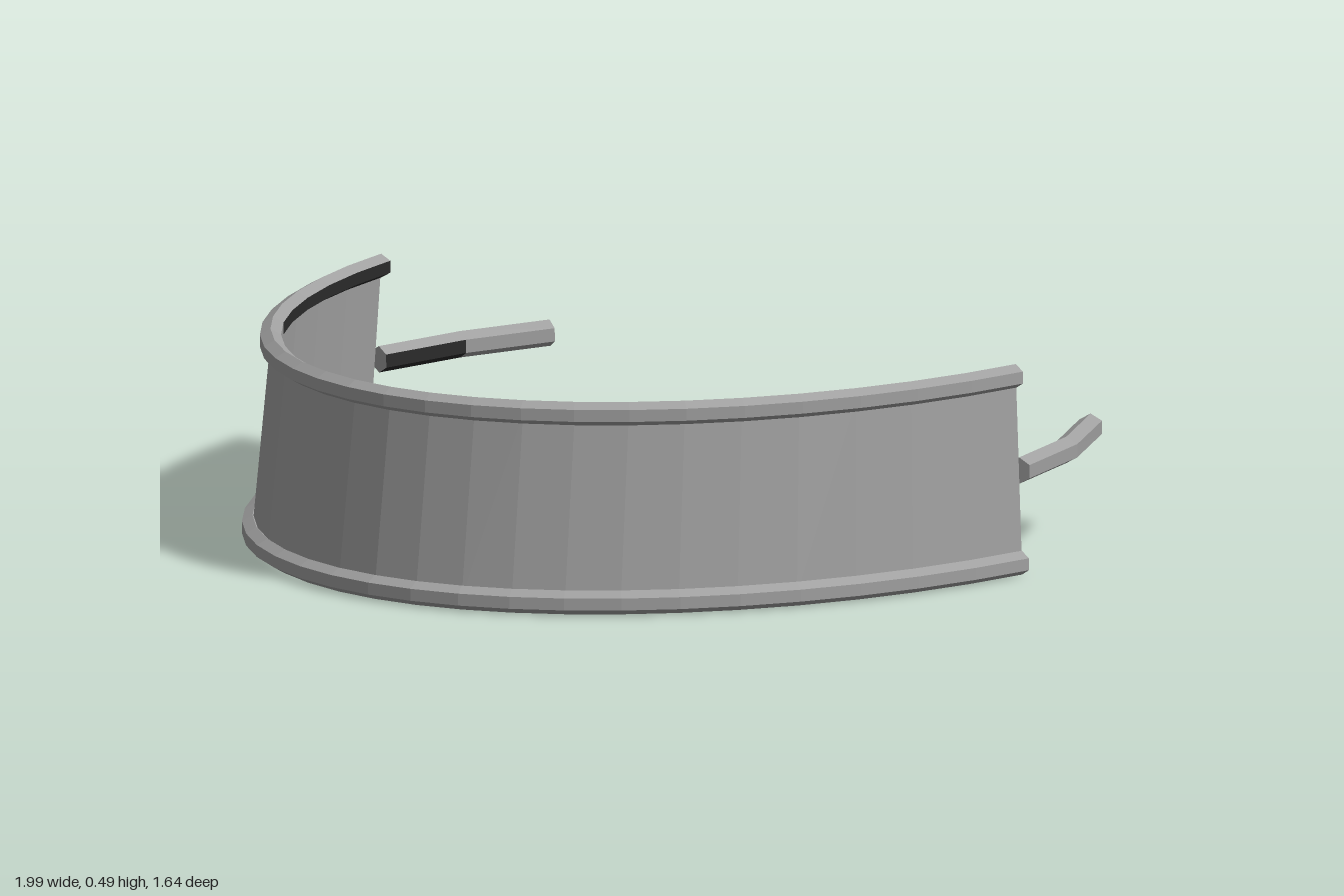
import * as THREE from 'three';

const SWEEP_DEGREES = 80; // half angle of the curved band
const SWEEP = THREE.MathUtils.degToRad(SWEEP_DEGREES);
const SEGMENTS = 24;

// Points along an elliptical arc, from the right end round the front to the left end
function arc(y, endX, frontZ, endZ) {
  const a = endX / Math.sin(SWEEP);
  const b = (frontZ - endZ) / (1 - Math.cos(SWEEP));
  const points = [];
  for (let i = 0; i <= SEGMENTS; i++) {
    const t = SWEEP * ((2 * i) / SEGMENTS - 1);
    points.push(new THREE.Vector3(a * Math.sin(t), y, frontZ - b + b * Math.cos(t)));
  }
  return points;
}

// Angle of a band segment away from the front, in degrees
const angleOf = (i) => Math.abs(SWEEP_DEGREES * ((2 * i + 1) / SEGMENTS - 1));

// Capped hexagonal rod swept along a polyline; isDark(segment, side) picks the dark faces
function rod(path, radius, isDark) {
  const sides = 6, last = path.length - 1;
  const position = [], light = [], dark = [];
  path.forEach((p, i) => {
    const tangent = path[Math.min(i + 1, last)].clone().sub(path[Math.max(i - 1, 0)]).normalize();
    const side = new THREE.Vector3(0, 1, 0).cross(tangent).normalize();
    const up = tangent.clone().cross(side);
    for (let j = 0; j < sides; j++) {
      const t = (j / sides) * Math.PI * 2;
      const v = p.clone().addScaledVector(up, radius * Math.cos(t)).addScaledVector(side, -radius * Math.sin(t));
      position.push(v.x, v.y, v.z);
    }
  });
  for (let i = 0; i < last; i++) {
    for (let j = 0; j < sides; j++) {
      const a = i * sides + j, b = i * sides + ((j + 1) % sides);
      (isDark(i, j) ? dark : light).push(a, b + sides, b, a, a + sides, b + sides);
    }
  }
  const end = last * sides;
  for (let j = 1; j < sides - 1; j++) {
    light.push(0, j, j + 1, end, end + j + 1, end + j);
  }
  return build(position, light, dark);
}

// Thin sheet joining two curves with equal point counts
function sheet(lower, upper) {
  const position = [], index = [];
  lower.forEach((p, i) => position.push(...p.toArray(), ...upper[i].toArray()));
  for (let i = 0; i < lower.length - 1; i++) {
    const a = i * 2;
    index.push(a, a + 2, a + 3, a, a + 3, a + 1);
  }
  return build(position, index, []);
}

// Flat-faced geometry with one group for each colour
function build(position, light, dark) {
  const indexed = new THREE.BufferGeometry();
  indexed.setAttribute('position', new THREE.Float32BufferAttribute(position, 3));
  indexed.setIndex([...light, ...dark]);
  const geometry = indexed.toNonIndexed();
  geometry.addGroup(0, light.length, 0);
  if (dark.length) geometry.addGroup(light.length, dark.length, 1);
  geometry.computeVertexNormals();
  return geometry;
}

export function createModel() {
  const model = new THREE.Group();
  model.name = 'visor';
  const grey = new THREE.MeshStandardMaterial({ color: 0xa0a0a0, flatShading: true, side: THREE.DoubleSide });
  grey.name = 'grey';
  const black = new THREE.MeshStandardMaterial({ color: 0x2a2a2a, flatShading: true, side: THREE.DoubleSide });
  black.name = 'black';
  const add = (name, geometry) => {
    const mesh = new THREE.Mesh(geometry, [grey, black]);
    mesh.name = name;
    model.add(mesh);
  };

  // Leaning curved shield
  const bottom = arc(0.028, 0.972, 0.789, -0.362);
  const top = arc(0.46, 0.945, 0.733, -0.373);
  add('shield', sheet(bottom, top));

  // Rims with dark stretches on their inner faces
  const inner = (j) => j === 3 || j === 4;
  add('bottomRim', rod(bottom, 0.028, (i, j) => inner(j) && (angleOf(i) < 57 || angleOf(i) > 74)));
  add('topRim', rod(top, 0.028, (i, j) => inner(j) && (angleOf(i) < 20 || angleOf(i) > 48)));

  // Bent side arms reaching back, the right one dark on the inside near the shield
  for (const [name, s] of [['leftArm', 1], ['rightArm', -1]]) {
    add(name, rod([
      new THREE.Vector3(s * 0.953, 0.239, -0.375),
      new THREE.Vector3(s * 0.903, 0.243, -0.605),
      new THREE.Vector3(s * 0.805, 0.25, -0.81),
    ], 0.031, (i, j) => s < 0 && i === 0 && (j === 1 || j === 2)));
  }
  return model;
}
